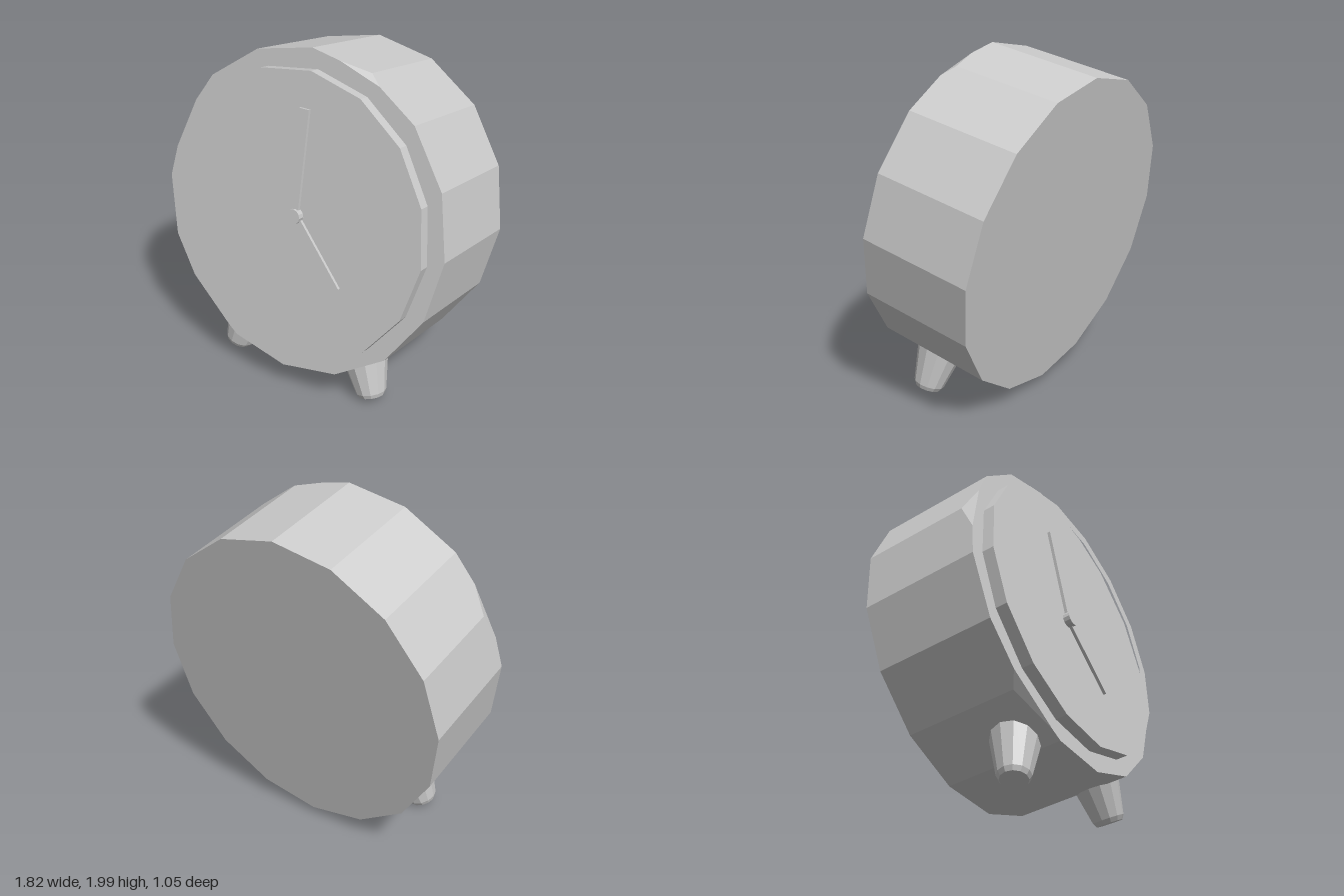
import * as THREE from 'three';
import { ConvexGeometry } from 'three/addons/geometries/ConvexGeometry.js';

const SIDES = 16;
const TILT = THREE.MathUtils.degToRad(10);
const material = new THREE.MeshStandardMaterial({ color: 0xcccccc, flatShading: true });

function addMesh(parent, name, geometry) {
  const mesh = new THREE.Mesh(geometry, material);
  mesh.name = name;
  parent.add(mesh);
  return mesh;
}

// Point of a 16-sided ring, counted clockwise from the top
function ringPoint(i, rx, ry, z, offset = 0) {
  const a = (i / SIDES) * Math.PI * 2 + offset;
  return new THREE.Vector3(rx * Math.sin(a), ry * Math.cos(a), z);
}

// Drum whose front rim has a few chipped corners
function bodyGeometry() {
  const depth = 0.69;
  // corner index: [cut towards previous, cut towards next, cut depth]
  const chips = { 1: [0.5, 0.25, 0.04], 13: [0.48, 0.45, 0.07], 10: [0.8, 0.25, 0.05] };
  const corner = (i, z) => ringPoint(i, 0.912, 0.93, z);
  const points = [];
  for (let i = 0; i < SIDES; i++) {
    points.push(corner(i, -depth));
    const front = corner(i, 0);
    if (chips[i]) {
      const [before, after, down] = chips[i];
      points.push(front.clone().lerp(corner(i - 1, 0), before));
      points.push(front.clone().lerp(corner(i + 1, 0), after));
      points.push(corner(i, -down));
    } else {
      points.push(front);
    }
  }
  return new ConvexGeometry(points);
}

// Raised ring around the dial
function bezelGeometry() {
  const outline = (r) => Array.from({ length: SIDES }, (_, i) => {
    const p = ringPoint(i, r, r * 1.008, 0, 0.06);
    return new THREE.Vector2(p.x, p.y);
  });
  const shape = new THREE.Shape(outline(0.82));
  shape.holes.push(new THREE.Path(outline(0.75)));
  return new THREE.ExtrudeGeometry(shape, { depth: 0.067, bevelEnabled: false });
}

// Hand that widens towards its tip
function handGeometry(length) {
  const shape = new THREE.Shape([
    new THREE.Vector2(-0.018, 0),
    new THREE.Vector2(0.018, 0),
    new THREE.Vector2(0.032, length),
    new THREE.Vector2(-0.032, length),
  ]);
  return new THREE.ExtrudeGeometry(shape, { depth: 0.018, bevelEnabled: false });
}

// Tapered foot with a bevelled tip
function footGeometry() {
  const profile = [[0, 0], [0.075, 0], [0.09, 0.025], [0.155, 0.34], [0, 0.34]];
  return new THREE.LatheGeometry(profile.map(([r, y]) => new THREE.Vector2(r, y)), 12);
}

export function createModel() {
  const model = new THREE.Group();
  model.name = 'alarmClock';

  // Everything is laid out around the centre of the dial, then leaned back
  const clock = new THREE.Group();
  clock.name = 'leaningClock';
  clock.position.set(0, 1.085, 0.32);
  clock.rotation.x = -TILT;
  model.add(clock);

  addMesh(clock, 'body', bodyGeometry());
  addMesh(clock, 'bezel', bezelGeometry());

  // Hands and hub
  const minute = addMesh(clock, 'minuteHand', handGeometry(0.605));
  minute.position.z = 0.004;
  minute.rotation.z = 0.005;
  const hour = addMesh(clock, 'hourHand', handGeometry(0.465));
  hour.position.z = 0.002;
  hour.rotation.z = -(Math.PI - Math.atan2(0.297, 0.355));
  const hub = addMesh(clock, 'hub', new THREE.CylinderGeometry(0.043, 0.043, 0.04, 12));
  hub.rotation.x = Math.PI / 2;
  hub.position.z = 0.02;

  // Splayed feet
  for (const side of [-1, 1]) {
    const foot = addMesh(clock, side > 0 ? 'leftFoot' : 'rightFoot', footGeometry());
    foot.position.set(side * 0.485, -1.028, -0.217);
    foot.rotation.z = side * THREE.MathUtils.degToRad(18);
  }
  return model;
}
